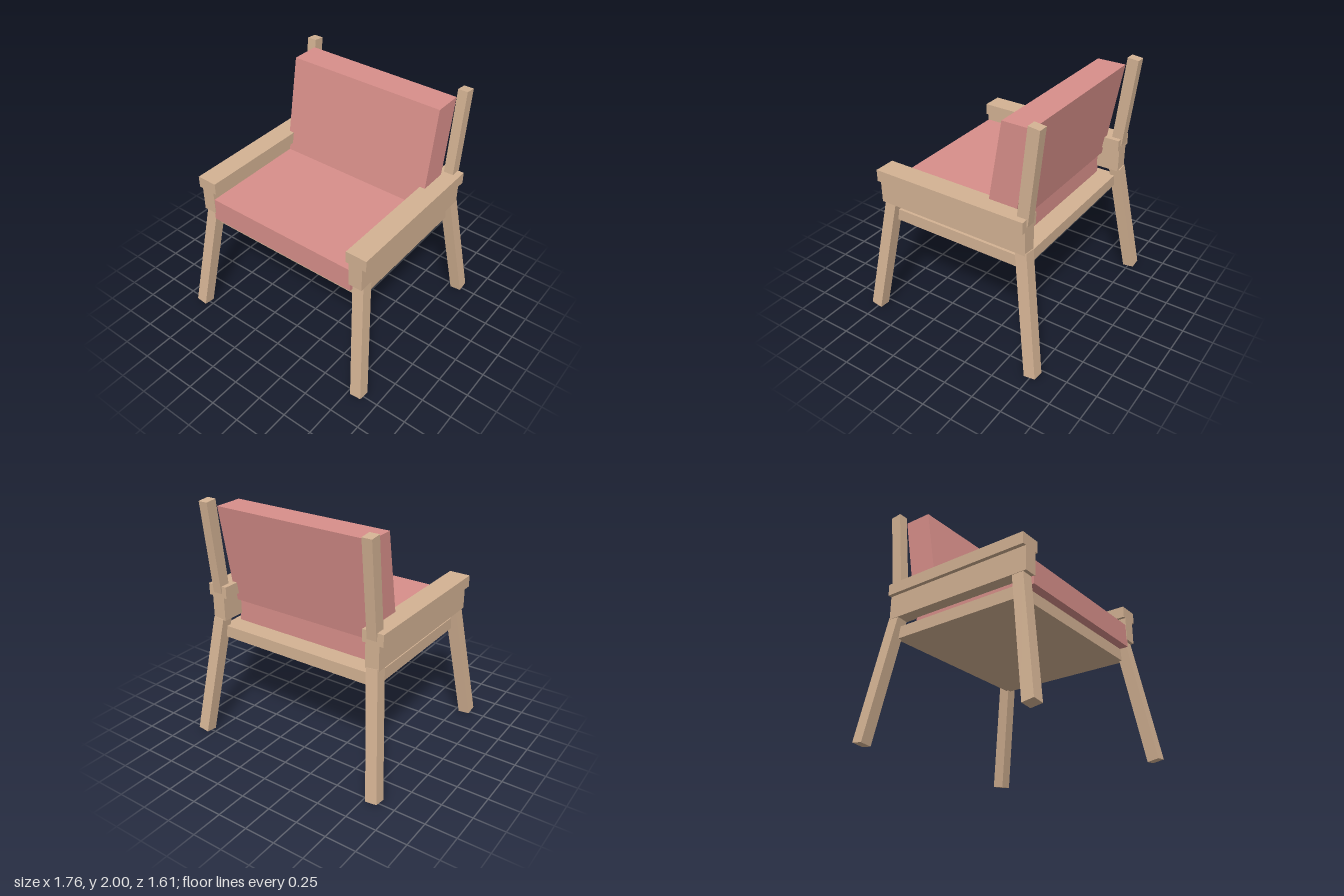
import * as THREE from 'three';

export function createModel() {
  const model = new THREE.Group();
  model.name = 'armchair';

  const wood = new THREE.MeshStandardMaterial({ color: 0xd3b293 });
  wood.name = 'light wood';
  const fabric = new THREE.MeshStandardMaterial({ color: 0xd88f8a });
  fabric.name = 'pink fabric';

  function add(name, geometry, material) {
    const mesh = new THREE.Mesh(geometry, material);
    mesh.name = name;
    model.add(mesh);
    return mesh;
  }

  // Box given by its extents on each axis
  function block(name, material, [x0, x1], [y0, y1], [z0, z1]) {
    const mesh = add(name, new THREE.BoxGeometry(x1 - x0, y1 - y0, z1 - z0), material);
    mesh.position.set((x0 + x1) / 2, (y0 + y1) / 2, (z0 + z1) / 2);
    return mesh;
  }

  // Straight bar with square-cut ends between two points
  function bar(name, from, to, width, depth) {
    const a = new THREE.Vector3(...from);
    const b = new THREE.Vector3(...to);
    const mesh = add(name, new THREE.BoxGeometry(width, a.distanceTo(b), depth), wood);
    mesh.position.copy(a).add(b).multiplyScalar(0.5);
    mesh.quaternion.setFromUnitVectors(new THREE.Vector3(0, 1, 0), b.sub(a).normalize());
    return mesh;
  }

  // Seat board and cushion
  block('seatBoard', wood, [-0.72, 0.72], [0.85, 0.948], [-0.595, 0.595]);
  block('seatCushion', fabric, [-0.668, 0.668], [0.948, 1.142], [-0.44, 0.668]);

  // Back cushion: a slanted slab with level top and bottom
  const backGeometry = new THREE.BoxGeometry(1.345, 0.798, 0.237);
  const p = backGeometry.attributes.position;
  for (let i = 0; i < p.count; i++) p.setZ(i, p.getZ(i) - 0.174 * p.getY(i));
  backGeometry.computeVertexNormals();
  add('backCushion', backGeometry, fabric).position.set(0, 1.541, -0.428);

  for (const [side, s] of [['left', 1], ['right', -1]]) {
    const span = (a, b) => (s > 0 ? [a, b] : [-b, -a]);

    // Armrest with a narrower beam beneath
    block(side + 'Armrest', wood, span(0.628, 0.802), [1.206, 1.302], [-0.633, 0.672]);
    block(side + 'ArmBeam', wood, span(0.655, 0.769), [1.01, 1.206], [-0.633, 0.672]);

    // Leaning back post
    bar(side + 'BackPost', [s * 0.71, 1.245, -0.594], [s * 0.71, 1.995, -0.676], 0.08, 0.093);

    // Splayed legs
    for (const [end, e] of [['Front', 1], ['Back', -1]]) {
      bar(side + end + 'Leg', [s * 0.833, 0.015, e * 0.755], [s * 0.717, 1.015, e * 0.595], 0.096, 0.096);
    }
  }
  return model;
}
